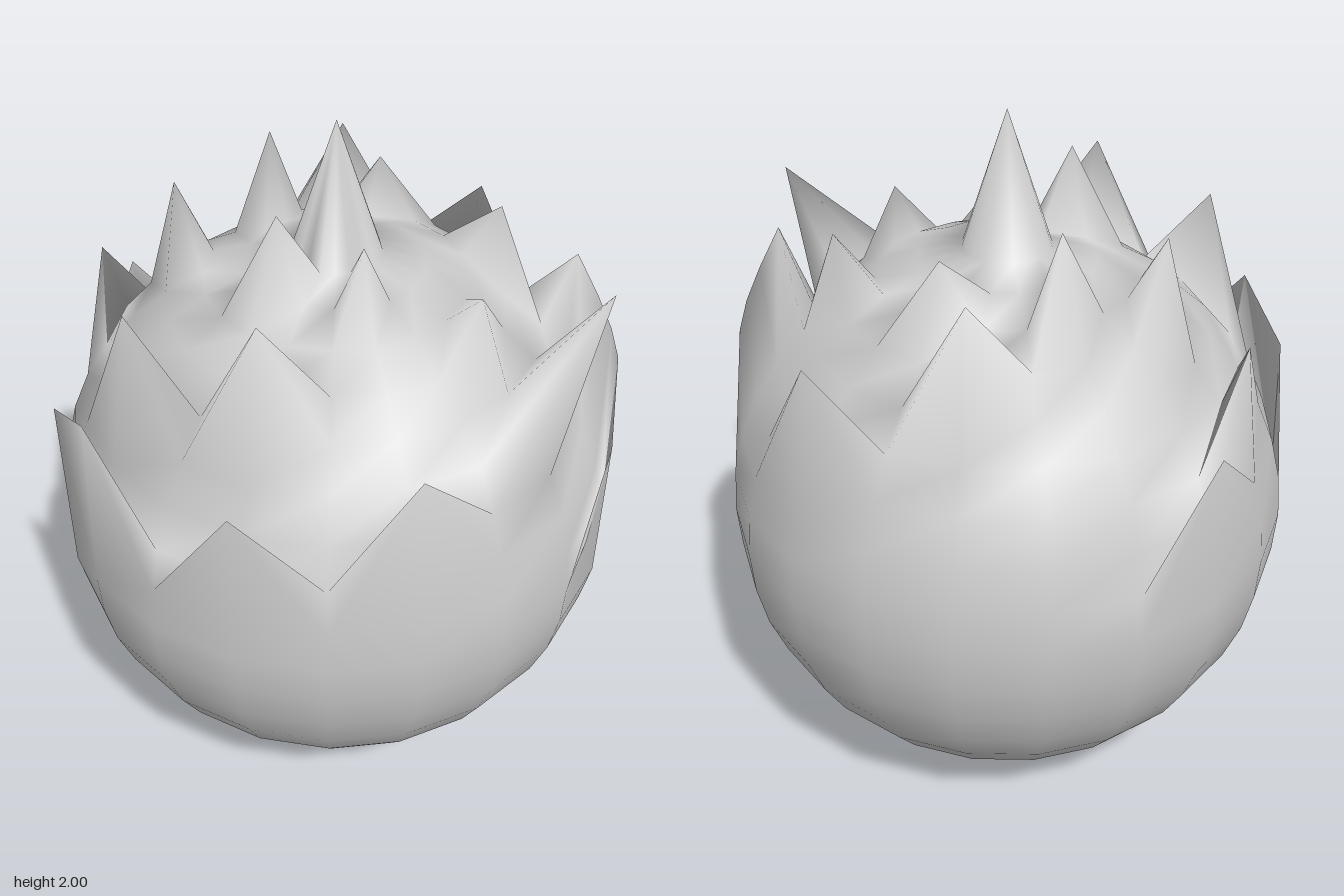
import * as THREE from 'three';

const R = 0.81, SEGMENTS = 20, RINGS = 20;

// Raised points: ring (from the top), column (from +x towards +z), height, optional x and z
const SPIKES = [
  [2, 5, 1.76], [2, 8, 1.83],
  [3, 14, 1.80, -0.09, -0.365], [3, 17, 1.71],
  [4, 0, 1.67], [4, 3, 1.64], [4, 12, 1.73],
  [5, 7, 1.72], [5, 16, 1.70],
  [6, 1, 1.61], [6, 3, 1.67, 0.594, 0.503], [6, 9, 1.64],
  [7, 1, 1.48], [7, 12, 1.47], [7, 18, 1.49],
  [8, 1, 1.37], [8, 5, 1.40],
  [9, 1, 1.27], [9, 7, 1.29], [9, 9, 1.35], [9, 13, 1.27],
  [10, 2, 1.14], [10, 10, 1.24],
];

// Index of a grid point; the columns wrap round and each pole is one point
function pointIndex(ring, column) {
  if (ring === 0) return 0;
  if (ring === RINGS) return 1 + (RINGS - 1) * SEGMENTS;
  return 1 + (ring - 1) * SEGMENTS + (column % SEGMENTS);
}

function spikedSphere() {
  const positions = [0, 2, 0];
  for (let j = 1; j < RINGS; j++) {
    const polar = (j / RINGS) * Math.PI;
    for (let i = 0; i < SEGMENTS; i++) {
      const a = (i / SEGMENTS) * Math.PI * 2;
      const r = R * Math.sin(polar);
      positions.push(r * Math.cos(a), R + R * Math.cos(polar), r * Math.sin(a));
    }
  }
  positions.push(0, 0, 0);

  // Pull the spikes upwards
  for (const [ring, column, y, x, z] of SPIKES) {
    const k = pointIndex(ring, column) * 3;
    positions[k + 1] = y;
    if (x !== undefined) {
      positions[k] = x;
      positions[k + 2] = z;
    }
  }

  // Two triangles per cell, one at the poles
  const index = [];
  for (let j = 0; j < RINGS; j++) {
    for (let i = 0; i < SEGMENTS; i++) {
      const a = pointIndex(j, i), b = pointIndex(j, i + 1);
      const c = pointIndex(j + 1, i + 1), d = pointIndex(j + 1, i);
      if (j > 0) index.push(a, b, c);
      if (j < RINGS - 1) index.push(a, c, d);
    }
  }

  const geometry = new THREE.BufferGeometry();
  geometry.setAttribute('position', new THREE.Float32BufferAttribute(positions, 3));
  geometry.setIndex(index);
  geometry.computeVertexNormals();
  return geometry;
}

export function createModel() {
  const group = new THREE.Group();
  group.name = 'spikedBall';
  const material = new THREE.MeshStandardMaterial({ color: 0xcccccc, side: THREE.DoubleSide });
  const body = new THREE.Mesh(spikedSphere(), material);
  body.name = 'spikedSphere';
  group.add(body);
  return group;
}
